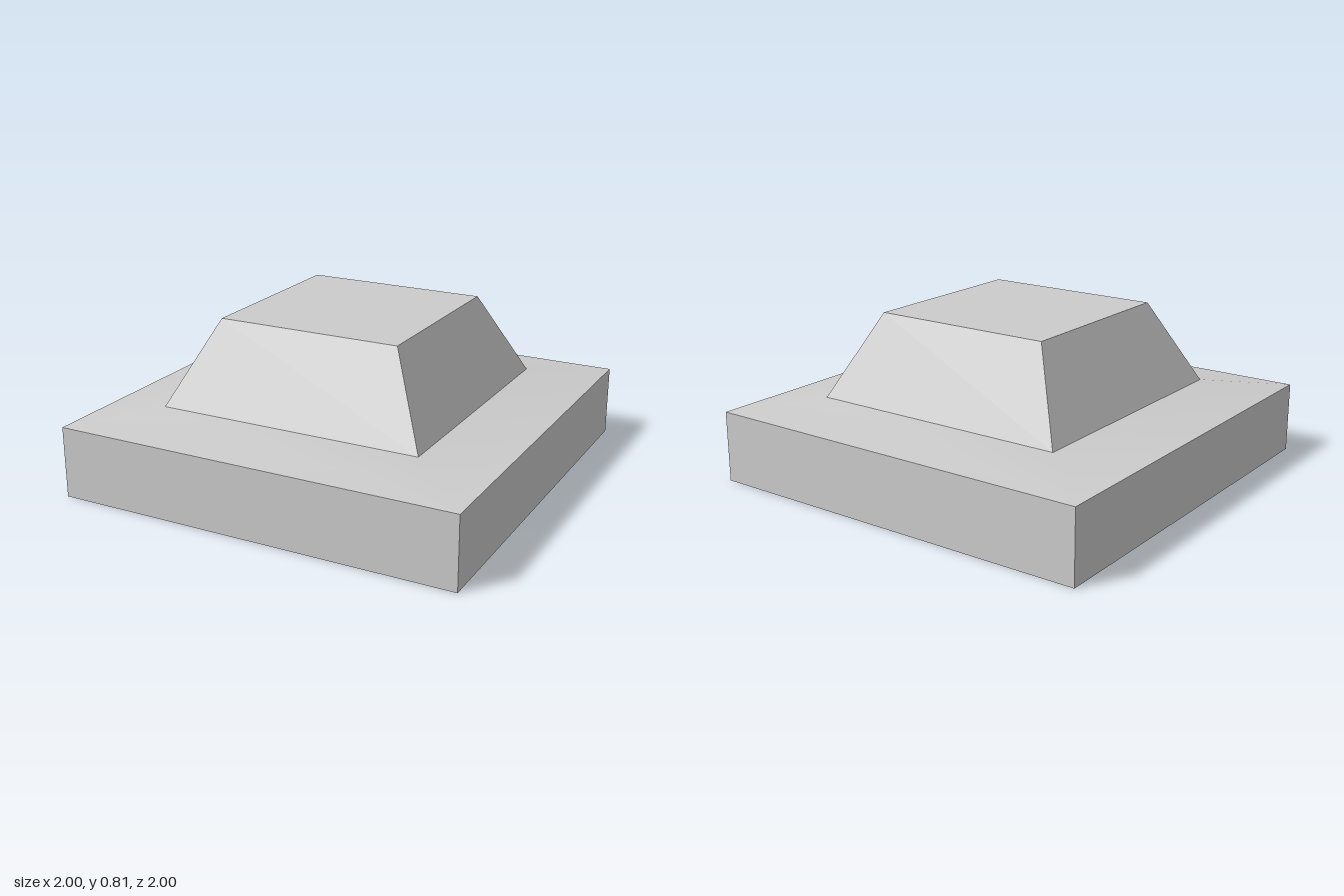
import * as THREE from 'three';
import { toCreasedNormals } from 'three/addons/utils/BufferGeometryUtils.js';

// Square solid from a profile of [half width, height], listed from the bottom up.
function squareLathe(name, profile, material) {
  const points = profile.map(([half, y]) => new THREE.Vector2(half * Math.SQRT2, y));
  const lathe = new THREE.LatheGeometry(points, 4, Math.PI / 4);
  const mesh = new THREE.Mesh(toCreasedNormals(lathe, Math.PI / 6), material);
  mesh.name = name;
  return mesh;
}

export function createModel() {
  const group = new THREE.Group();
  group.name = 'steppedPlinth';
  const material = new THREE.MeshStandardMaterial({ color: 0xcccccc });

  // Square slab with a gently sloping upper surface
  group.add(squareLathe('base', [[0, 0], [1, 0], [1, 0.35], [0.66, 0.4]], material));

  // Tapered block with a flat top, closing the base
  group.add(squareLathe('taperedTop', [[0.66, 0.4], [0.457, 0.81], [0, 0.81]], material));

  return group;
}
